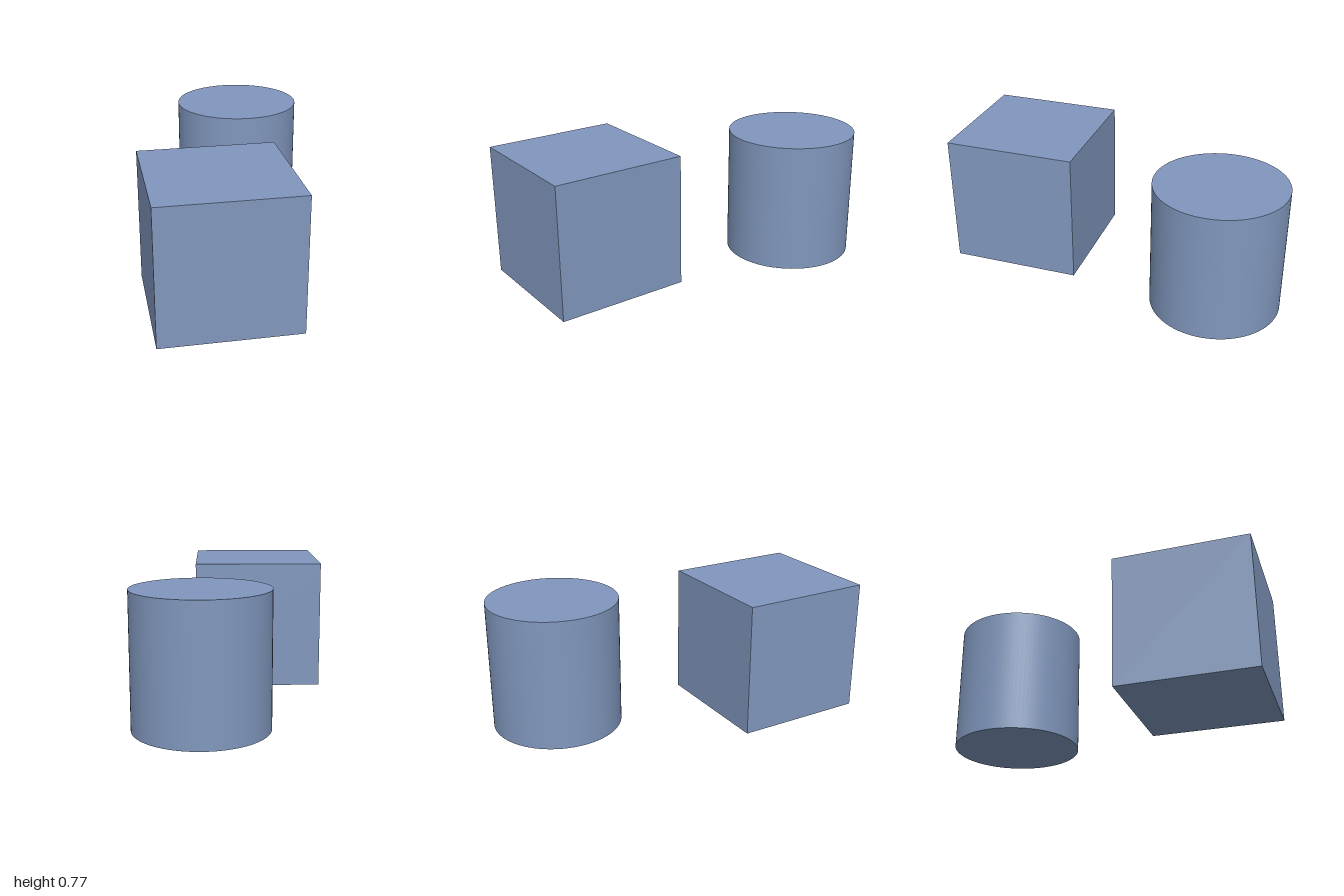
import * as THREE from 'three';

export function createModel() {
  const model = new THREE.Group();
  const material = new THREE.MeshStandardMaterial({ color: 0x8097bd });

  // Adds a named part standing on the ground
  const addPart = (name, geometry, height, x, z) => {
    const mesh = new THREE.Mesh(geometry, material);
    mesh.name = name;
    mesh.position.set(x, height / 2, z);
    model.add(mesh);
  };

  // Cube at the front right
  const side = 0.768;
  addPart('cube', new THREE.BoxGeometry(side, side, side), side, -0.55 + side / 2, 1 - side / 2);

  // Smooth cylinder at the back left
  const radius = 0.375, height = 0.753;
  addPart('cylinder', new THREE.CylinderGeometry(radius, radius, height, 96), height, 0.55 - radius, -1 + radius);

  return model;
}
